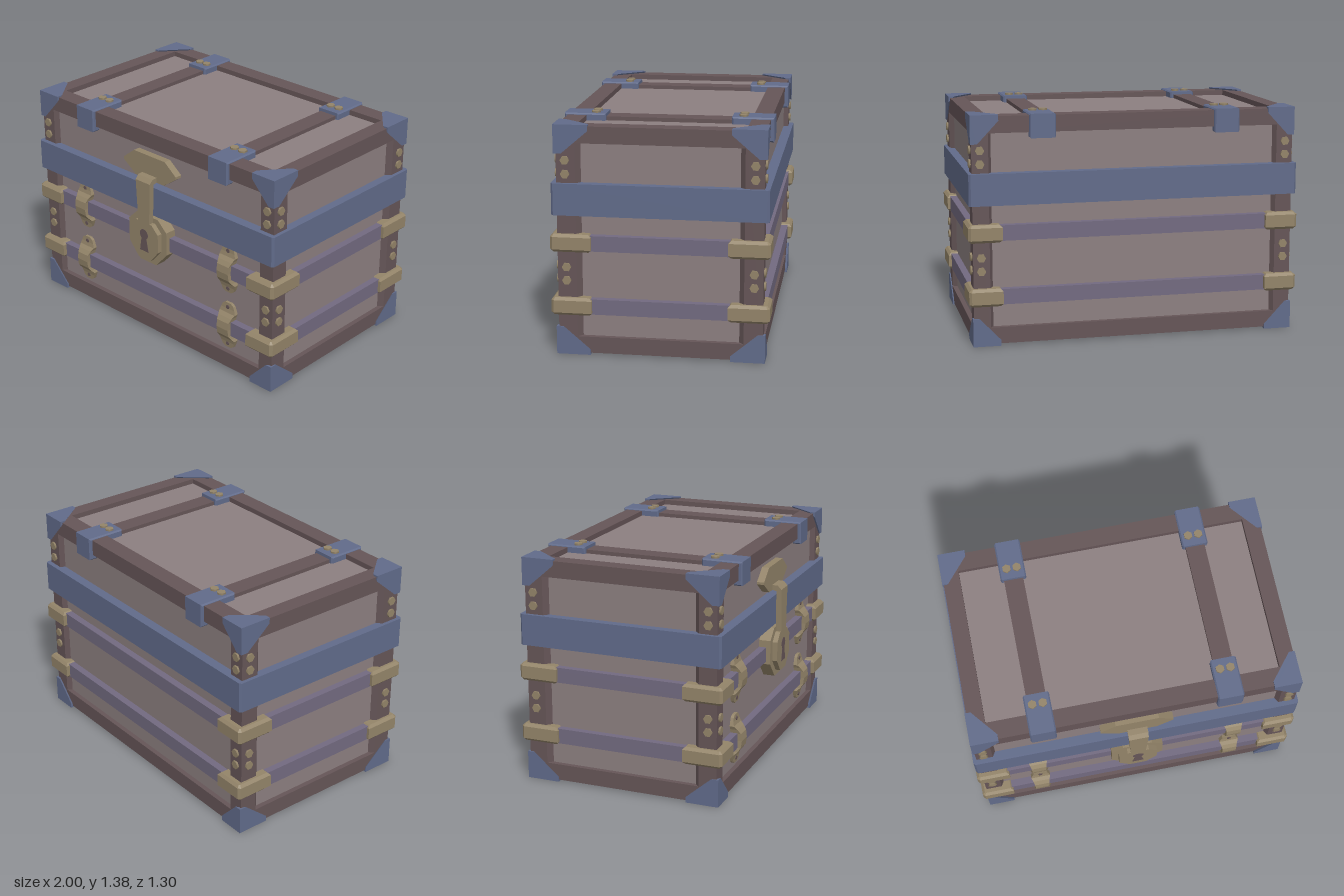
import * as THREE from 'three';
import { ConvexGeometry } from 'three/addons/geometries/ConvexGeometry.js';

const mat = (name, color) => {
  const m = new THREE.MeshStandardMaterial({ color });
  m.name = name;
  return m;
};

const shapeOf = (pts) => new THREE.Shape(pts.map(([x, y]) => new THREE.Vector2(x, y)));

// Extrude a front outline from z0 to z1
function extrudeZ(shape, z0, z1, bevel = 0) {
  const g = new THREE.ExtrudeGeometry(shape, {
    depth: z1 - z0 - 2 * bevel, bevelEnabled: bevel > 0, bevelSize: bevel,
    bevelOffset: -bevel, bevelThickness: bevel, bevelSegments: 1, curveSegments: 8,
  });
  return g.translate(0, 0, z0 + bevel);
}
// Extrude a plan outline given as [x, z] from y0 to y1
const extrudeY = (pts, y0, y1, bevel) =>
  extrudeZ(shapeOf(pts.map(([x, z]) => [x, -z])), y0, y1, bevel).rotateX(-Math.PI / 2);
// Extrude a side outline given as [z, y], centred on x = 0
const extrudeX = (pts, width, bevel) =>
  extrudeZ(shapeOf(pts), -width / 2, width / 2, bevel).rotateY(-Math.PI / 2);

// Rectangle in plan with cut corners
function cutRect(hx, hz, c) {
  return [[hx, hz - c], [hx - c, hz], [c - hx, hz], [-hx, hz - c],
    [-hx, c - hz], [c - hx, -hz], [hx - c, -hz], [hx, c - hz]];
}

// Loft of rectangular sections [y, halfWidth, frontZ] rising in y
function loftStrap(sections, backZ) {
  const rings = sections.map(([y, w, z]) => [[w, y, z], [w, y, backZ], [-w, y, backZ], [-w, y, z]]);
  const pos = [];
  const quad = (a, b, c, d) => pos.push(...a, ...b, ...c, ...a, ...c, ...d);
  for (let i = 0; i < rings.length - 1; i++) {
    for (let j = 0; j < 4; j++) {
      const k = (j + 1) % 4;
      quad(rings[i][j], rings[i][k], rings[i + 1][k], rings[i + 1][j]);
    }
  }
  quad(...rings[rings.length - 1]);
  quad(...[...rings[0]].reverse());
  const g = new THREE.BufferGeometry();
  g.setAttribute('position', new THREE.Float32BufferAttribute(pos, 3));
  g.computeVertexNormals();
  return g;
}

export function createModel() {
  const root = new THREE.Group();
  root.name = 'chest';
  const chest = new THREE.Group();
  chest.name = 'chestBody';
  chest.position.z = -0.015;
  root.add(chest);

  const panel = mat('panelWood', 0x8c7f80);
  const wood = mat('darkWood', 0x655557);
  const blue = mat('blueMetal', 0x616b8a);
  const purple = mat('purpleBand', 0x726a80);
  const brass = mat('brass', 0x938469);

  const add = (name, geo, material, x = 0, y = 0, z = 0) => {
    const m = new THREE.Mesh(geo, material);
    m.name = name;
    m.position.set(x, y, z);
    chest.add(m);
    return m;
  };
  const box = (name, w, h, d, material, x, y, z) =>
    add(name, new THREE.BoxGeometry(w, h, d), material, x, y, z);

  const HX = 0.97, HZ = 0.595, Y0 = 0.01, Y1 = 1.355;
  const signs = [-1, 1];

  // Recessed panels
  box('panels', 1.88, 1.303, 1.13, panel, 0, 0.6735, 0);

  // Rails round the top and bottom
  for (const y of [Y0 + 0.05, Y1 - 0.0475]) {
    for (const s of signs) {
      box('longRail', 2 * HX, 0.098, 0.11, wood, 0, y, s * (HZ - 0.055));
      box('sideRail', 0.1, 0.098, 2 * HZ - 0.2, wood, s * (HX - 0.05), y, 0);
    }
  }

  // Rivet facing the side; turned for the other faces
  const rivetX = new THREE.CylinderGeometry(0.027, 0.027, 0.024, 6).rotateZ(Math.PI / 2);
  const rivetZ = rivetX.clone().rotateY(Math.PI / 2);
  const rivetY = rivetX.clone().rotateZ(Math.PI / 2);

  // Corner posts, rivets, metal corner guards and brass band corners
  for (const sx of signs) {
    for (const sz of signs) {
      const corner = (hx, hz, pts) => pts.map(([a, b]) => [sx * (hx - a), sz * (hz - b)]);

      add('cornerPost', extrudeY(corner(HX, HZ, [[0, 0], [0.098, 0], [0.118, 0.032],
        [0.032, 0.032], [0.032, 0.14], [0, 0.11]]), Y0 + 0.002, Y1 - 0.002), wood);

      for (const y of [0.45, 0.53, 1.08, 1.16]) {
        add('postRivet', rivetX, brass, sx * HX, y, sz * (HZ - 0.052));
        add('postRivet', rivetZ, brass, sx * (HX - 0.047), y, sz * HZ);
      }

      for (const top of [false, true]) {
        const pts = [[0, 0, 0], [0.165, 0, 0], [0.165, 0.035, 0], [0.04, 0.168, 0], [0, 0.168, 0],
          [0, 0, 0.2], [0, 0.035, 0.2], [0, 0.168, 0.045], [0.165, 0, 0.04], [0.035, 0, 0.2]];
        add('cornerGuard', new ConvexGeometry(pts.map(([x, y, z]) => new THREE.Vector3(
          sx * (0.978 - x), top ? 1.366 - y : y, sz * (0.609 - z)))), blue);
      }

      for (const y of [0.243, 0.623]) {
        add('brassBandCorner', extrudeY(corner(1, 0.635, [[0.015, 0], [0.2, 0], [0.2, 0.09],
          [0.09, 0.09], [0.09, 0.24], [0, 0.24], [0, 0.015]]), y, y + 0.106, 0.016), brass);
      }
    }
  }

  // Bands wrapped round the chest
  add('wideBand', extrudeY(cutRect(0.992, 0.625, 0.012), 0.84, 1.027), blue);
  for (const y of [0.25, 0.63]) {
    add('narrowBand', extrudeY(cutRect(0.982, 0.61, 0.01), y, y + 0.092), purple);
  }

  // Lid slats with metal clips over the front and back edges
  const clip = extrudeX([[0.616, 1.367], [0.616, 1.225], [0.56, 1.225], [0.56, 1.315],
    [0.37, 1.315], [0.37, 1.367]], 0.155, 0.008);
  for (const sx of signs) {
    const x = sx * 0.555;
    box('lidSlat', 0.116, 0.04, 1.0, wood, x, 1.328, 0);
    for (const sz of signs) {
      add('lidClip', clip, blue, x, 0, 0).rotation.y = sz > 0 ? 0 : Math.PI;
      for (const d of [-0.031, 0.031]) add('clipRivet', rivetY, brass, x + d, 1.366, sz * 0.435);
    }
  }

  // Hasp: plate, tapering strap and lock
  const mirrored = (half) => [...half, ...[...half].reverse().map(([x, y]) => [-x, y])];
  add('haspPlate', extrudeZ(shapeOf(mirrored([[0.13, 1.215], [0.22, 1.145], [0.22, 1.13],
    [0.12, 1.06]])), 0.55, 0.61), brass);

  const strap = extrudeX([[0.605, 1.092], [0.645, 1.09], [0.668, 1.065], [0.668, 0.79],
    [0.635, 0.79], [0.635, 1.055], [0.605, 1.06]], 0.122);
  const p = strap.attributes.position;
  for (let i = 0; i < p.count; i++) {
    p.setX(i, p.getX(i) * THREE.MathUtils.mapLinear(p.getY(i), 0.79, 1.09, 0.76, 1));
  }
  strap.computeVertexNormals();
  add('haspStrap', strap, brass);

  const lock = [[0.09, 0.83], [0.16, 0.765], [0.16, 0.615], [0.068, 0.515]];
  const lockInner = lock.map(([x, y]) => [x * 0.74, 0.677 + (y - 0.677) * 0.79]);
  add('lockPlate', extrudeZ(shapeOf(mirrored(lock)), 0.55, 0.637), brass);
  add('lockFace', extrudeZ(shapeOf(mirrored(lockInner)), 0.63, 0.668), brass);

  // Keyhole as a thin inlay
  const keyhole = new THREE.Shape();
  keyhole.moveTo(-0.036, 0.602);
  keyhole.lineTo(0.036, 0.602);
  keyhole.lineTo(0.02, 0.69);
  keyhole.absarc(0, 0.715, 0.034, -0.9, Math.PI + 0.9, false);
  keyhole.closePath();
  add('keyhole', extrudeZ(keyhole, 0.665, 0.6695), wood);

  // Arched latches over the narrow bands
  const half = [[0.152, 0.022, 0.583], [0.138, 0.043, 0.584], [0.115, 0.052, 0.586],
    [0.09, 0.061, 0.592], [0.07, 0.052, 0.612], [0.045, 0.046, 0.63]];
  const latch = loftStrap([...half.map(([y, w, z]) => [-y, w, z]), [0, 0.044, 0.636],
    ...[...half].reverse()], 0.55);
  const screw = new THREE.CylinderGeometry(0.013, 0.013, 0.01, 8).rotateX(Math.PI / 2);
  for (const sx of signs) {
    for (const y of [0.295, 0.672]) {
      add('latch', latch, brass, sx * 0.615, y, 0);
      for (const s of signs) add('latchScrew', screw, wood, sx * 0.615, y + s * 0.125, 0.584);
    }
  }
  return root;
}
